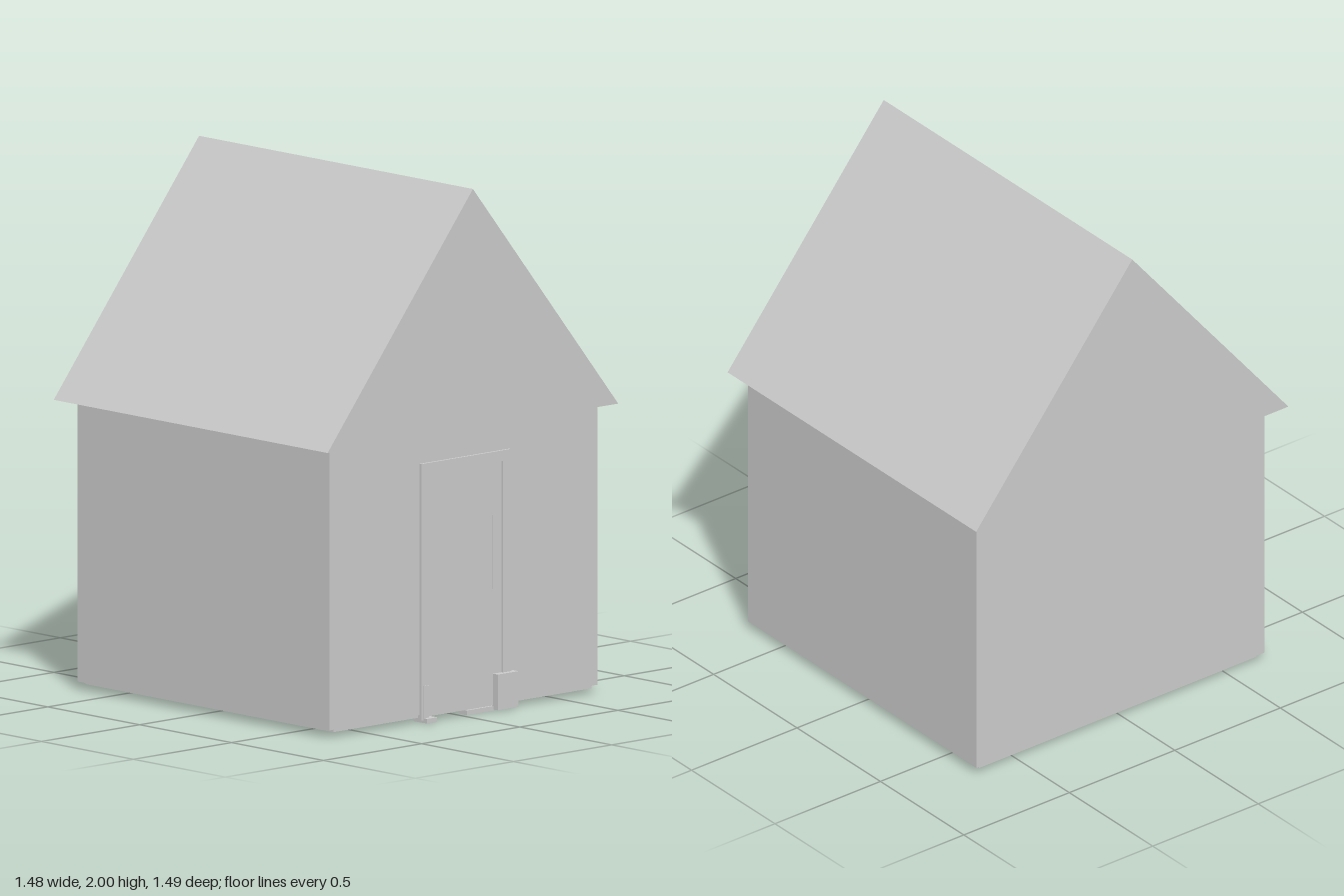
import * as THREE from 'three';

const material = new THREE.MeshStandardMaterial({ color: 0xcccccc, flatShading: true });

// Box given by its extents along each axis
function block(name, [x0, x1], [y0, y1], [z0, z1]) {
  const mesh = new THREE.Mesh(new THREE.BoxGeometry(x1 - x0, y1 - y0, z1 - z0), material);
  mesh.name = name;
  mesh.position.set((x0 + x1) / 2, (y0 + y1) / 2, (z0 + z1) / 2);
  return mesh;
}

export function createModel() {
  const house = new THREE.Group();
  house.name = 'house';

  // Solid stone walls on a slightly inset floor slab
  house.add(block('walls', [-0.675, 0.69], [0.03, 1.1], [-0.685, 0.685]));
  house.add(block('floorSlab', [-0.645, 0.67], [0.018, 0.04], [-0.675, 0.675]));

  // Gabled roof, a triangular prism along z
  const gable = new THREE.Shape([
    new THREE.Vector2(-0.74, 1.095),
    new THREE.Vector2(0.74, 1.095),
    new THREE.Vector2(0, 2),
  ]);
  const roof = new THREE.Mesh(
    new THREE.ExtrudeGeometry(gable, { depth: 1.49, bevelEnabled: false }), material);
  roof.name = 'roof';
  roof.position.z = -0.745;
  house.add(roof);

  // Door panel, almost flush with the wall
  const door = new THREE.Group();
  door.name = 'door';
  door.add(block('doorPanel', [-0.18, 0.2], [0.02, 0.94], [0.65, 0.688]));
  door.add(block('doorHandle', [0.151, 0.157], [0.46, 0.74], [0.67, 0.69]));
  house.add(door);

  // Door frame with plinth blocks at the foot of each jamb
  const frame = new THREE.Group();
  frame.name = 'doorFrame';
  frame.add(block('rightJamb', [-0.215, -0.18], [0.01, 0.94], [0.65, 0.695]));
  frame.add(block('leftJamb', [0.2, 0.24], [0.01, 0.94], [0.65, 0.695]));
  frame.add(block('lintel', [-0.215, 0.24], [0.94, 0.98], [0.65, 0.695]));
  frame.add(block('rightPlinth', [-0.205, -0.18], [0.005, 0.14], [0.65, 0.698]));
  frame.add(block('leftPlinth', [0.155, 0.26], [0.005, 0.14], [0.67, 0.715]));
  house.add(frame);

  // Low threshold stones
  house.add(block('leftThreshold', [0.02, 0.16], [0, 0.018], [0.65, 0.69]));
  house.add(block('rightThreshold', [-0.205, -0.155], [0, 0.018], [0.64, 0.715]));

  return house;
}
